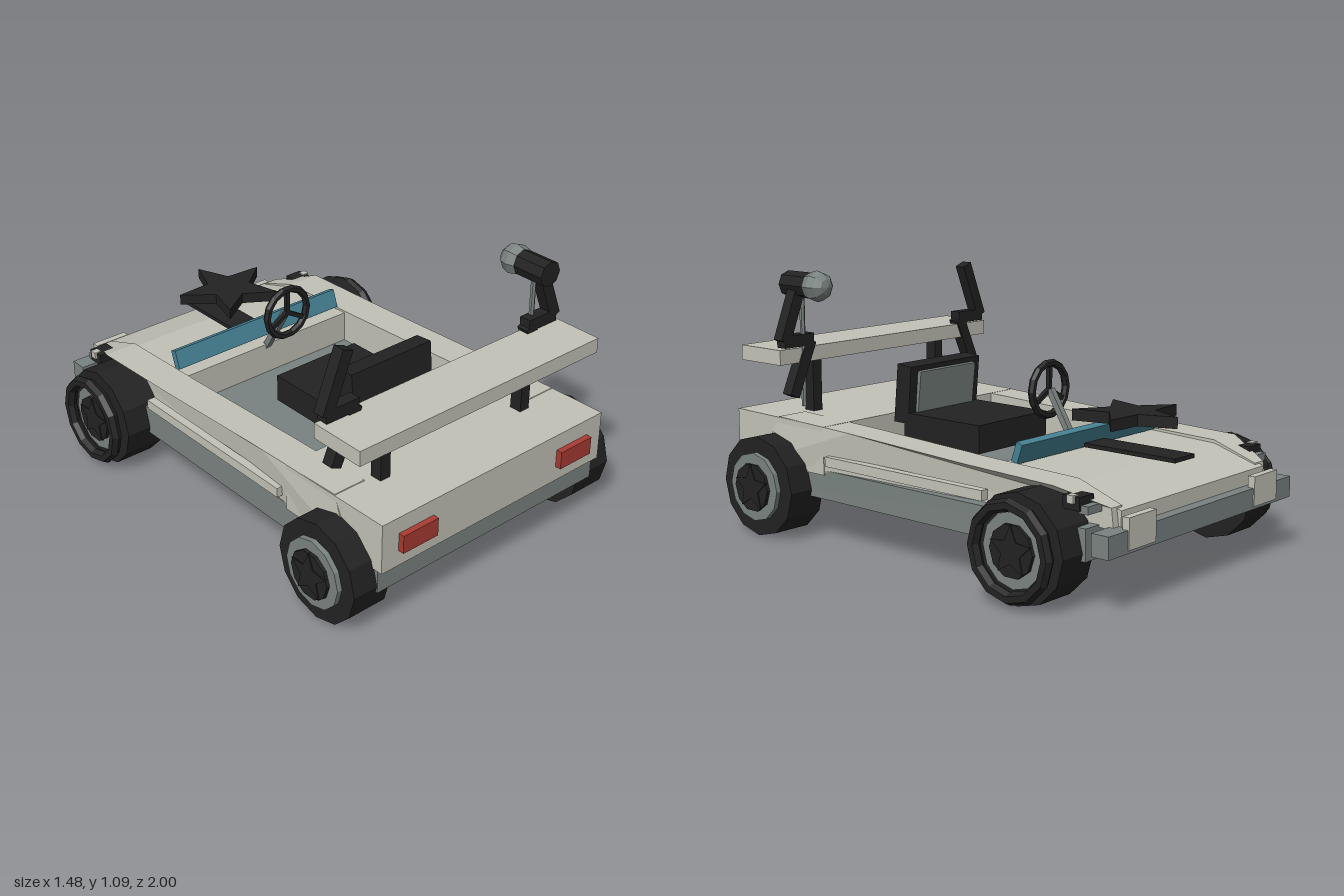
import * as THREE from 'three';

export function createModel() {
  const car = new THREE.Group();
  car.name = 'buggy';
  const mat = (name, color) => {
    const m = new THREE.MeshStandardMaterial({ color, flatShading: true });
    m.name = name;
    return m;
  };
  const cream = mat('cream', 0xc3c2b7);
  const grey = mat('grey', 0x7a8381);
  const black = mat('black', 0x222222);
  const red = mat('red', 0xa83c33);
  const teal = mat('teal', 0x468395);

  const add = (name, geo, m, x = 0, y = 0, z = 0, parent = car) => {
    const mesh = new THREE.Mesh(geo, m);
    mesh.name = name;
    mesh.position.set(x, y, z);
    parent.add(mesh);
    return mesh;
  };
  // Box given by its limits on each axis
  const box = (name, m, x0, x1, y0, y1, z0, z1, parent = car) =>
    add(name, new THREE.BoxGeometry(Math.abs(x1 - x0), y1 - y0, z1 - z0), m,
      (x0 + x1) / 2, (y0 + y1) / 2, (z0 + z1) / 2, parent);
  // Side profile of [z, y] points, extruded from x0 to x1
  const profile = (pts, x0, x1) => {
    const s = new THREE.Shape(pts.map(p => new THREE.Vector2(...p)));
    const g = new THREE.ExtrudeGeometry(s, { depth: x1 - x0, bevelEnabled: false });
    return g.rotateY(-Math.PI / 2).translate(x1, 0, 0);
  };
  const starShape = (R, r) => {
    const pts = [];
    for (let i = 0; i < 10; i++) {
      const a = Math.PI / 2 + i * Math.PI / 5, d = i % 2 ? r : R;
      pts.push(new THREE.Vector2(Math.cos(a) * d, Math.sin(a) * d));
    }
    return new THREE.Shape(pts);
  };
  // Bar between two points with a square section
  const bar = (name, m, a, b, w, parent = car) => {
    const p = new THREE.Vector3(...a), q = new THREE.Vector3(...b);
    const d = q.clone().sub(p);
    const mesh = add(name, new THREE.BoxGeometry(w, d.length(), w), m, 0, 0, 0, parent);
    mesh.position.copy(p.add(q).multiplyScalar(0.5));
    mesh.quaternion.setFromUnitVectors(new THREE.Vector3(0, 1, 0), d.normalize());
    return mesh;
  };

  // Chassis tray and body
  box('chassis', grey, -0.57, 0.57, 0.18, 0.3, -0.88, 0.95);
  add('rearDeck', profile([[0.45, 0.28], [0.975, 0.28], [0.975, 0.488], [0.45, 0.478]], -0.575, 0.575), cream);
  add('hood', profile([[-0.37, 0.29], [-0.37, 0.435], [-0.74, 0.42], [-0.95, 0.355], [-0.95, 0.29]], -0.46, 0.46), cream);

  // Side rails, flaring out to the sill and tapering at the nose
  for (const s of [-1, 1]) {
    const pts = [[0.82, 0.29], [0.72, 0.486], [0.3, 0.472], [-0.3, 0.446], [-0.74, 0.433], [-0.93, 0.367], [-0.94, 0.29]];
    const g = profile(pts, s > 0 ? 0.43 : -0.58, s > 0 ? 0.58 : -0.43);
    const p = g.attributes.position;
    for (let i = 0; i < p.count; i++) {
      if (Math.abs(p.getX(i)) < 0.5) continue;
      const z = p.getZ(i), y = p.getY(i);
      p.setX(i, s * (z < -0.8 ? 0.49 : 0.592 - (y - 0.29) * 0.1));
    }
    g.computeVertexNormals();
    add('sideRail', g, cream);
    box('sill', cream, s * 0.56, s * 0.596, 0.325, 0.365, -0.42, 0.42);

    // Lights and bumper pads
    box('tailLight', red, s * 0.325, s * 0.495, 0.345, 0.42, 0.97, 1);
    box('bumperPad', cream, s * 0.32, s * 0.48, 0.225, 0.343, -1, -0.97);

    // Front strut details
    box('strut', grey, s * 0.47, s * 0.57, 0.35, 0.38, -0.89, -0.85);
    box('strutBlock', black, s * 0.5, s * 0.58, 0.36, 0.41, -0.86, -0.785);
    box('strutPin', cream, s * 0.56, s * 0.59, 0.385, 0.415, -0.84, -0.81);

    // Wing posts and zigzag bolts
    box('wingPost', black, s * 0.343, s * 0.39, 0.47, 0.72, 0.71, 0.763);
    const bolt = new THREE.Group();
    bolt.name = 'zigzagBolt';
    car.add(bolt);
    bar('boltTop', black, [s * 0.585, 0.8, 0.672], [s * 0.492, 1.035, 0.672], 0.05, bolt);
    box('boltMiddle', black, s * 0.59, s * 0.437, 0.775, 0.825, 0.647, 0.697, bolt);
    bar('boltBottom', black, [s * 0.447, 0.795, 0.672], [s * 0.545, 0.573, 0.672], 0.05, bolt);
  }
  box('frontBumper', grey, -0.59, 0.59, 0.213, 0.297, -0.995, -0.92);
  box('rearWing', cream, -0.612, 0.612, 0.708, 0.77, 0.655, 0.895);

  // Hood stripe and raised star
  box('hoodStripe', black, -0.063, 0.063, 0.446, 0.462, -0.895, -0.47);
  const star = new THREE.ExtrudeGeometry(starShape(0.22, 0.095), { depth: 0.045, bevelEnabled: false });
  add('hoodStar', star.rotateX(-Math.PI / 2), black, 0, 0.56, -0.64);

  // Windscreen
  const screen = add('windscreen', new THREE.BoxGeometry(0.86, 0.08, 0.03), teal, 0, 0.48, -0.445);
  screen.rotation.x = -0.33;

  // Seat
  box('seatCushion', black, -0.207, 0.207, 0.38, 0.495, -0.055, 0.36);
  add('seatBack', profile([[0.418, 0.45], [0.395, 0.695], [0.318, 0.688], [0.338, 0.45]], -0.207, 0.207), black);
  add('seatPad', profile([[0.345, 0.48], [0.325, 0.668], [0.302, 0.665], [0.322, 0.48]], -0.165, 0.165), grey);

  // Steering wheel and column
  add('steeringWheel', new THREE.TorusGeometry(0.105, 0.016, 6, 14), black, 0, 0.637, -0.242);
  for (let i = 0; i < 3; i++) {
    const a = Math.PI / 2 + i * Math.PI * 2 / 3;
    bar('steeringSpoke', black, [0, 0.637, -0.242], [Math.cos(a) * 0.1, 0.637 + Math.sin(a) * 0.1, -0.242], 0.018);
  }
  bar('steeringColumn', grey, [0, 0.637, -0.25], [0, 0.42, -0.382], 0.026);

  // Microphone on its stand
  add('microphoneStand', new THREE.CylinderGeometry(0.011, 0.011, 0.47, 6), grey, 0.485, 0.76, 0.66);
  add('microphoneHandle', new THREE.CylinderGeometry(0.053, 0.053, 0.18, 8).rotateX(Math.PI / 2), black, 0.485, 1.025, 0.65);
  add('microphoneHead', new THREE.SphereGeometry(0.064, 8, 6).rotateX(Math.PI / 2), grey, 0.485, 1.025, 0.565);

  // Wheels: tyre, rim, cap with star; the front pair also has an outer ring
  const turn = Math.PI / 2;
  const disc = (r, w, n) => new THREE.CylinderGeometry(r, r, w, n).rotateZ(turn);
  for (const s of [-1, 1]) for (const z of [-0.66, 0.74]) {
    const wheel = new THREE.Group();
    wheel.name = z < 0 ? 'frontWheel' : 'rearWheel';
    wheel.position.set(0, 0.208, z);
    car.add(wheel);
    add('tyre', disc(0.208, 0.17, 12), black, s * 0.592, 0, 0, wheel);
    add('rim', disc(0.142, 0.04, 12), grey, s * 0.678, 0, 0, wheel);
    add('hubCap', disc(0.1, 0.02, 10), black, s * 0.702, 0, 0, wheel);
    const hub = new THREE.ExtrudeGeometry(starShape(0.098, 0.045), { depth: 0.01, bevelEnabled: false });
    add('hubStar', hub.rotateY(s * turn), black, s * 0.706, 0, 0, wheel);
    if (z < 0) add('outerRing', new THREE.TorusGeometry(0.17, 0.025, 6, 12).rotateY(turn), black, s * 0.716, 0, 0, wheel);
  }
  return car;
}
